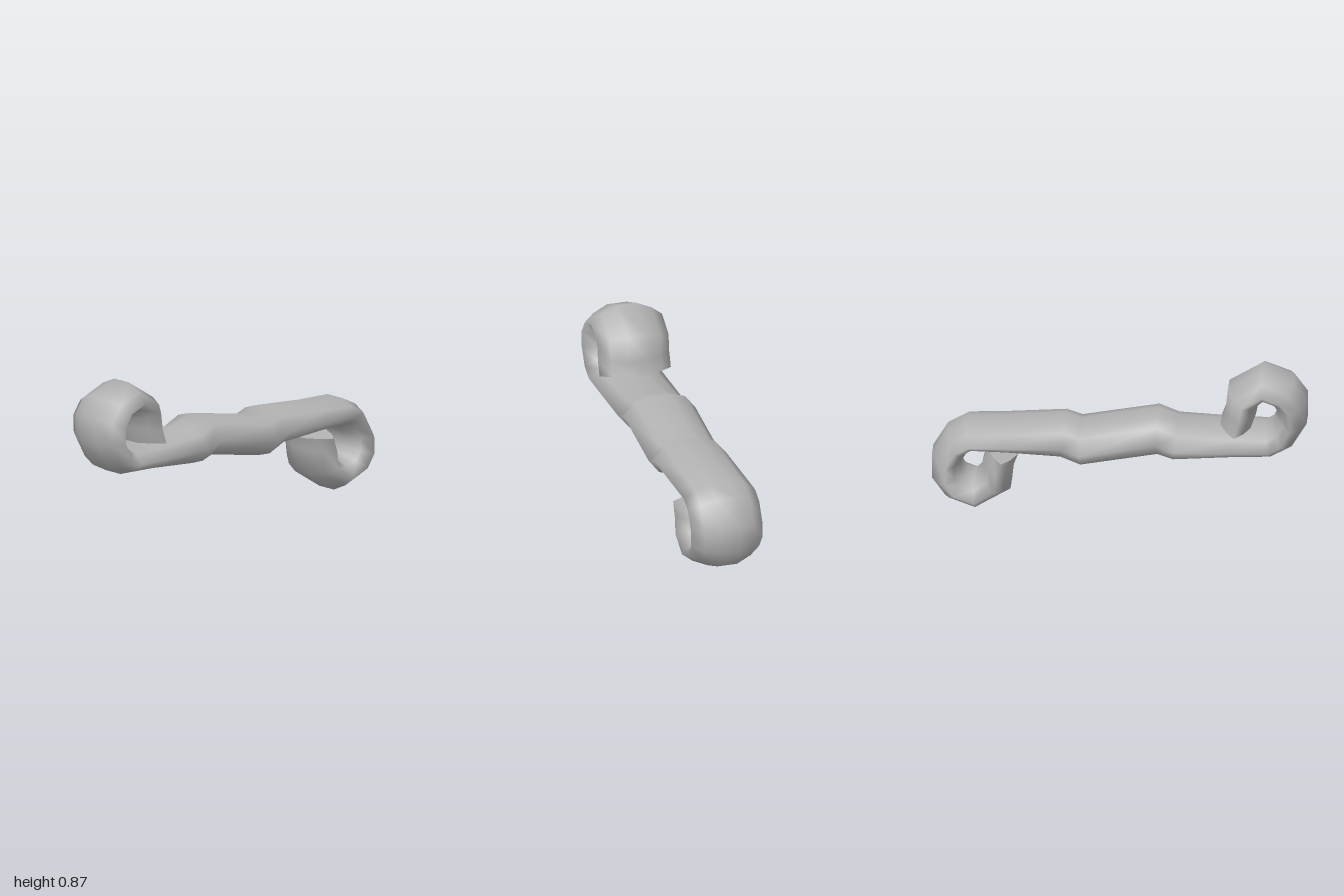
import * as THREE from 'three';

// Centre height: the scroll is point-symmetric about (0, MID)
const MID = 0.437;

// Stations of the left half, curl tip to bar centre:
// [outer x, outer y, inner x, inner y, shoulder fullness]
const HALF = [
  [-0.54, 0.55, -0.70, 0.53, 0.55],
  [-0.565, 0.62, -0.73, 0.62, 0.55],
  [-0.58, 0.76, -0.74, 0.67, 0.55],
  [-0.76, 0.874, -0.775, 0.70, 0.55],
  [-0.93, 0.81, -0.815, 0.685, 0.55],
  [-1.0, 0.71, -0.84, 0.65, 0.55],
  [-1.0, 0.57, -0.84, 0.605, 0.55],
  [-0.92, 0.43, -0.82, 0.56, 0.55],
  [-0.82, 0.38, -0.78, 0.525, 0.6],
  [-0.6, 0.37, -0.6, 0.525, 0.65],
  [-0.29, 0.342, -0.31, 0.54, 0.7],
  [-0.21, 0.375, -0.2, 0.58, 0.75],
];

// Ten-sided arched section as [z, height factor] pairs
function section(full) {
  return [
    [0.2, 0], [0.14, full], [0.055, 1], [-0.055, 1], [-0.14, full],
    [-0.2, 0], [-0.14, -full], [-0.055, -1], [0.055, -1], [0.14, -full],
  ];
}

function sweep(stations) {
  const pos = [], index = [], n = 10;
  const addRing = ([ox, oy, ix, iy, full]) => {
    const cx = (ox + ix) / 2, cy = (oy + iy) / 2;
    for (const [z, h] of section(full)) {
      pos.push(cx + (ox - ix) / 2 * h, cy + (oy - iy) / 2 * h, z);
    }
  };
  stations.forEach(addRing);
  for (let i = 0; i < stations.length - 1; i++) {
    for (let k = 0; k < n; k++) {
      const a = i * n + k, b = i * n + (k + 1) % n;
      index.push(a, b, a + n, b, b + n, a + n);
    }
  }
  // End caps on their own vertices, so their rims stay sharp
  const first = pos.length / 3, last = first + n;
  addRing(stations[0]);
  addRing(stations[stations.length - 1]);
  for (let k = 1; k < n - 1; k++) {
    index.push(first, first + k + 1, first + k);
    index.push(last, last + k, last + k + 1);
  }
  const geometry = new THREE.BufferGeometry();
  geometry.setAttribute('position', new THREE.Float32BufferAttribute(pos, 3));
  geometry.setIndex(index);
  geometry.computeVertexNormals();
  return geometry;
}

export function createModel() {
  const grey = new THREE.MeshStandardMaterial({ color: 0xb2b2b2 });
  grey.name = 'grey';

  // Half-turn copy; the outer side of one curl continues as the inner of the other
  const turned = HALF.map(([ox, oy, ix, iy, f]) =>
    [-ix, 2 * MID - iy, -ox, 2 * MID - oy, f]).reverse();

  const band = new THREE.Mesh(sweep([...HALF, ...turned]), grey);
  band.name = 'scrolledBand';

  const group = new THREE.Group();
  group.name = 'scroll';
  group.add(band);
  return group;
}
